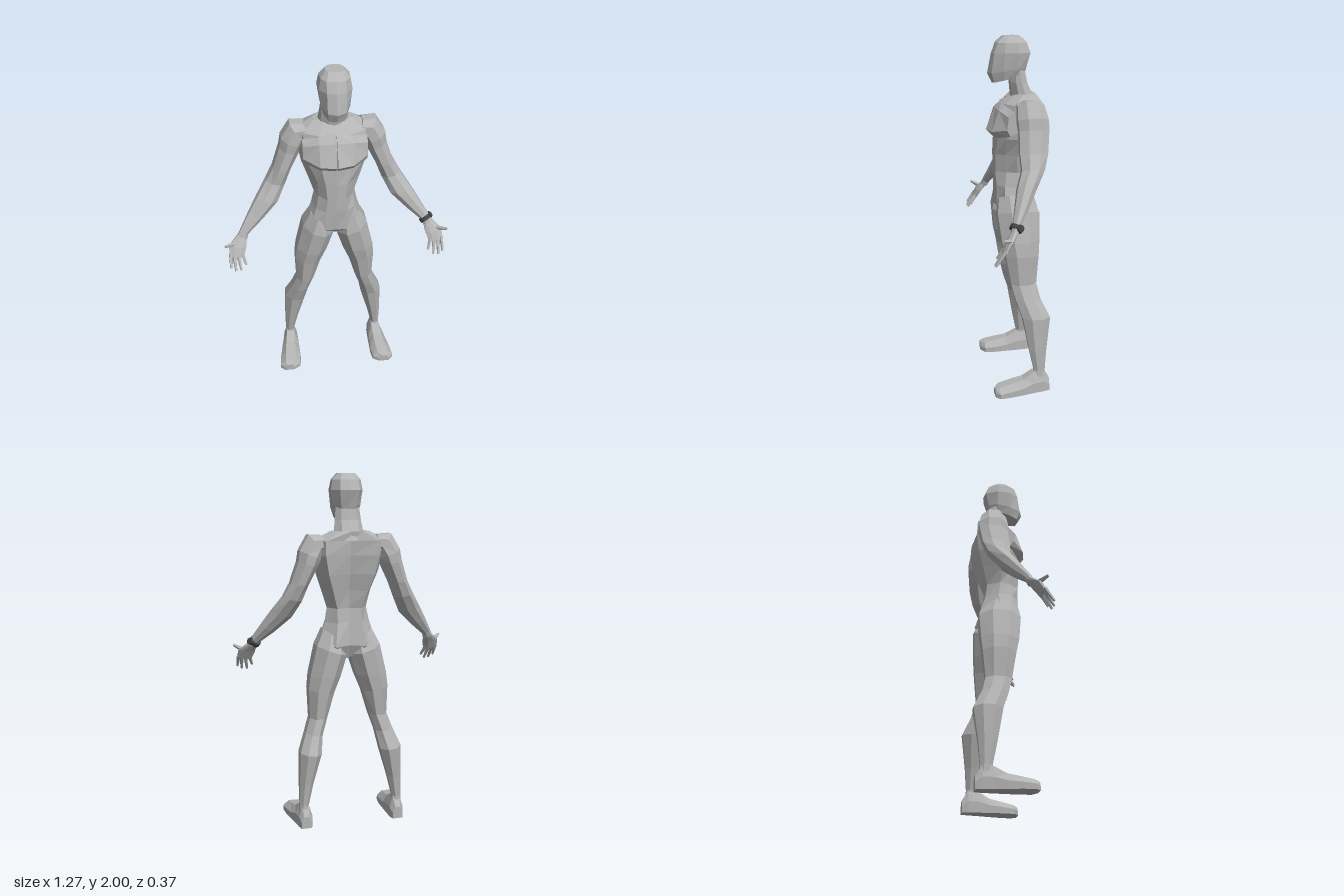
import * as THREE from 'three';

const skin = new THREE.MeshStandardMaterial({ color: 0xb4b4b4 });
skin.name = 'light grey body';
const dark = new THREE.MeshStandardMaterial({ color: 0x444444 });
dark.name = 'dark watch';

const V = (x, y, z) => new THREE.Vector3(x, y, z);

// Faceted closed skin through rings of equal point count, always wound outward
function loft(name, rings, material = skin) {
  const tris = [];
  const n = rings[0].length;
  for (let r = 0; r < rings.length - 1; r++) {
    for (let i = 0; i < n; i++) {
      const j = (i + 1) % n;
      const [a, b, c, d] = [rings[r][i], rings[r][j], rings[r + 1][j], rings[r + 1][i]];
      tris.push([a, b, c], [a, c, d]);
    }
  }
  const cap = (ring, flip) => {
    const mid = ring.reduce((s, p) => s.add(p), V(0, 0, 0)).divideScalar(n);
    ring.forEach((p, i) => {
      const q = ring[(i + 1) % n];
      tris.push(flip ? [mid, q, p] : [mid, p, q]);
    });
  };
  cap(rings[0], true);
  cap(rings[rings.length - 1], false);
  const volume = tris.reduce((s, [a, b, c]) => s + a.dot(b.clone().cross(c)), 0);
  const points = tris.flatMap(([a, b, c]) => (volume < 0 ? [a, c, b] : [a, b, c]));
  const geometry = new THREE.BufferGeometry().setFromPoints(points);
  geometry.computeVertexNormals();
  const mesh = new THREE.Mesh(geometry, material);
  mesh.name = name;
  return mesh;
}

// Mirrored ring: y, front z, four side points (x, z), back z, tilt of y along z
function bodyRing([y, zf, x1, z1, x2, z2, x3, z3, x4, z4, zb, tilt = 0]) {
  const side = [[x1, z1], [x2, z2], [x3, z3], [x4, z4]];
  const outline = [[0, zf], ...side, [0, zb], ...side.map(([x, z]) => [-x, z]).reverse()];
  return outline.map(([x, z]) => V(x, y + tilt * z, z));
}

// Limb ring: inner point (x, y), outer point (x, y), front z, back z
function limbRing([xi, yi, xo, yo, zf, zb], sx) {
  return Array.from({ length: 8 }, (_, i) => {
    const a = ((i + 0.5) / 8) * Math.PI * 2;
    const t = 0.5 + 0.53 * Math.cos(a);
    const z = (zf + zb) / 2 + ((zf - zb) / 2) * 1.06 * Math.sin(a);
    return V(sx * (xi + (xo - xi) * t), yi + (yo - yi) * t, z);
  });
}

// Tapered five-sided rod between two points
function rod(name, a, b, r0, r1) {
  const dir = b.clone().sub(a);
  const geometry = new THREE.CylinderGeometry(r1, r0, dir.length(), 5).toNonIndexed();
  geometry.computeVertexNormals();
  const mesh = new THREE.Mesh(geometry, skin);
  mesh.position.copy(a).add(b).multiplyScalar(0.5);
  mesh.quaternion.setFromUnitVectors(V(0, 1, 0), dir.normalize());
  mesh.name = name;
  return mesh;
}

const torso = [
  [0.97, 0, 0.015, 0, 0.03, -0.02, 0.03, -0.05, 0.02, -0.07, -0.07],
  [1.05, 0.085, 0.06, 0.09, 0.15, 0.06, 0.175, -0.03, 0.09, -0.14, -0.1],
  [1.18, 0.1, 0.06, 0.09, 0.11, 0.05, 0.13, -0.03, 0.07, -0.1, -0.085],
  [1.26, 0.1, 0.05, 0.095, 0.095, 0.04, 0.115, -0.02, 0.07, -0.09, -0.075],
  [1.36, 0.1, 0.06, 0.095, 0.1, 0.05, 0.145, -0.01, 0.1, -0.12, -0.085],
  [1.455, 0.1, 0.08, 0.085, 0.14, 0.045, 0.18, -0.03, 0.13, -0.15, -0.105],
  [1.56, 0.09, 0.1, 0.07, 0.16, 0.03, 0.2, -0.06, 0.15, -0.165, -0.12],
  [1.64, 0.055, 0.09, 0.045, 0.17, 0, 0.21, -0.07, 0.15, -0.16, -0.125],
  [1.69, -0.02, 0.05, -0.025, 0.1, -0.05, 0.11, -0.085, 0.07, -0.13, -0.13],
];
const neck = [
  [1.64, 0, 0.03, -0.01, 0.075, -0.04, 0.09, -0.08, 0.05, -0.135, -0.14],
  [1.75, 0.01, 0.03, 0.005, 0.065, -0.02, 0.075, -0.05, 0.045, -0.085, -0.09],
  [1.83, 0.02, 0.03, 0.01, 0.06, -0.02, 0.065, -0.04, 0.04, -0.07, -0.075],
];
const head = [
  [1.775, 0.105, 0.04, 0.095, 0.06, 0.045, 0.06, -0.03, 0.035, -0.07, -0.075, -0.25],
  [1.82, 0.13, 0.048, 0.112, 0.075, 0.05, 0.077, -0.03, 0.045, -0.08, -0.085, -0.15],
  [1.91, 0.108, 0.05, 0.098, 0.086, 0.045, 0.09, -0.03, 0.055, -0.1, -0.11, 0],
  [1.965, 0.085, 0.05, 0.078, 0.075, 0.04, 0.08, -0.025, 0.05, -0.08, -0.09, 0],
  [2.0, 0.045, 0.035, 0.04, 0.048, 0.02, 0.048, -0.02, 0.03, -0.045, -0.05, 0],
];
const arm = [
  [0.12, 1.6, 0.16, 1.67, 0, -0.14],
  [0.15, 1.57, 0.235, 1.675, 0, -0.15],
  [0.165, 1.54, 0.285, 1.59, 0.005, -0.165],
  [0.185, 1.5, 0.295, 1.53, 0, -0.165],
  [0.235, 1.4, 0.335, 1.41, 0.005, -0.15],
  [0.27, 1.31, 0.375, 1.335, 0, -0.125],
  [0.32, 1.215, 0.435, 1.25, 0.035, -0.07],
  [0.41, 1.13, 0.49, 1.165, 0.06, -0.015],
  [0.495, 1.06, 0.54, 1.085, 0.085, 0.04],
  [0.505, 1.03, 0.56, 1.05, 0.095, 0.055],
];
const palm = [
  [0.505, 1.045, 0.555, 1.06, 0.09, 0.05],
  [0.512, 1.0, 0.605, 1.015, 0.125, 0.085],
  [0.53, 0.95, 0.612, 0.965, 0.148, 0.118],
];
const leg = [
  [0.02, 1.07, 0.14, 1.14, 0.085, -0.1],
  [0.008, 0.99, 0.185, 1.05, 0.098, -0.145],
  [0.045, 0.87, 0.225, 0.88, 0.08, -0.138],
  [0.085, 0.77, 0.235, 0.8, 0.06, -0.13],
  [0.125, 0.63, 0.23, 0.63, 0.032, -0.115],
  [0.158, 0.53, 0.258, 0.55, 0.01, -0.135],
  [0.175, 0.43, 0.3, 0.445, -0.025, -0.185],
  [0.225, 0.25, 0.305, 0.25, -0.06, -0.16],
  [0.252, 0.13, 0.305, 0.13, -0.085, -0.15],
  [0.25, 0.06, 0.31, 0.06, -0.08, -0.155],
];
// Foot sections along z: z, inner x, outer x, top y
const foot = [
  [-0.175, 0.245, 0.305, 0.07],
  [-0.14, 0.235, 0.315, 0.125],
  [-0.08, 0.232, 0.325, 0.12],
  [-0.02, 0.23, 0.34, 0.085],
  [0.06, 0.228, 0.355, 0.068],
  [0.12, 0.235, 0.36, 0.055],
  [0.145, 0.275, 0.335, 0.045],
];
// Chest sections along x: x, then (y, z) from top round the front to the back
const pec = [
  [0.004, 1.655, 0.05, 1.61, 0.088, 1.49, 0.14, 1.455, 0.105, 1.5, 0],
  [0.09, 1.635, 0.045, 1.605, 0.08, 1.49, 0.12, 1.455, 0.085, 1.5, 0],
  [0.175, 1.61, 0.01, 1.58, 0.04, 1.51, 0.05, 1.475, 0.03, 1.5, -0.02],
];
// Fingers: base x, y, z then tip x, y, z
const fingers = [
  [0.603, 0.975, 0.13, 0.606, 0.905, 0.178],
  [0.585, 0.965, 0.132, 0.58, 0.888, 0.183],
  [0.562, 0.962, 0.132, 0.55, 0.886, 0.178],
  [0.54, 0.965, 0.13, 0.522, 0.912, 0.165],
];

function createModel() {
  const model = new THREE.Group();
  model.name = 'figure';
  model.add(
    loft('torso', torso.map(bodyRing)),
    loft('neck', neck.map(bodyRing)),
    loft('head', head.map(bodyRing)),
  );

  for (const [side, sx] of [['left', 1], ['right', -1]]) {
    const limb = (part, rings) => loft(`${side}${part}`, rings.map((r) => limbRing(r, sx)));
    model.add(limb('Arm', arm), limb('Palm', palm), limb('Leg', leg));

    model.add(loft(`${side}Foot`, foot.map(([z, xi, xo, top]) => {
      const w = xo - xi;
      return [[xi, 0], [xo, 0], [xo, top * 0.5], [xo - w * 0.25, top], [xi + w * 0.25, top], [xi, top * 0.5]]
        .map(([x, y]) => V(sx * x, y, z));
    })));

    model.add(loft(`${side}Chest`, pec.map(([x, ...p]) =>
      [0, 2, 4, 6, 8].map((i) => V(sx * x, p[i], p[i + 1])))));

    fingers.forEach(([x0, y0, z0, x1, y1, z1], i) => model.add(
      rod(`${side}Finger${i + 1}`, V(sx * x0, y0, z0), V(sx * x1, y1, z1), 0.012, 0.007)));
    model.add(rod(`${side}Thumb`, V(sx * 0.575, 1.015, 0.095), V(sx * 0.628, 1.037, 0.145), 0.016, 0.008));
  }

  // Watch on the left wrist: strap band plus dial on the outer side
  const watch = new THREE.Group();
  watch.name = 'watch';
  const strap = new THREE.Mesh(new THREE.CylinderGeometry(0.034, 0.034, 0.024, 10), dark);
  strap.name = 'strap';
  const dial = new THREE.Mesh(new THREE.CylinderGeometry(0.019, 0.022, 0.014, 8), dark);
  dial.name = 'dial';
  dial.rotation.z = -Math.PI / 2;
  dial.position.x = 0.036;
  watch.add(strap, dial);
  const out = V(0.75, 0.2, -0.47).normalize();
  const along = V(-0.5, 0.7, -0.5).normalize();
  watch.quaternion.setFromRotationMatrix(
    new THREE.Matrix4().makeBasis(out, along, out.clone().cross(along)));
  watch.position.set(0.516, 1.066, 0.064);
  model.add(watch);

  return model;
}

export { createModel };
